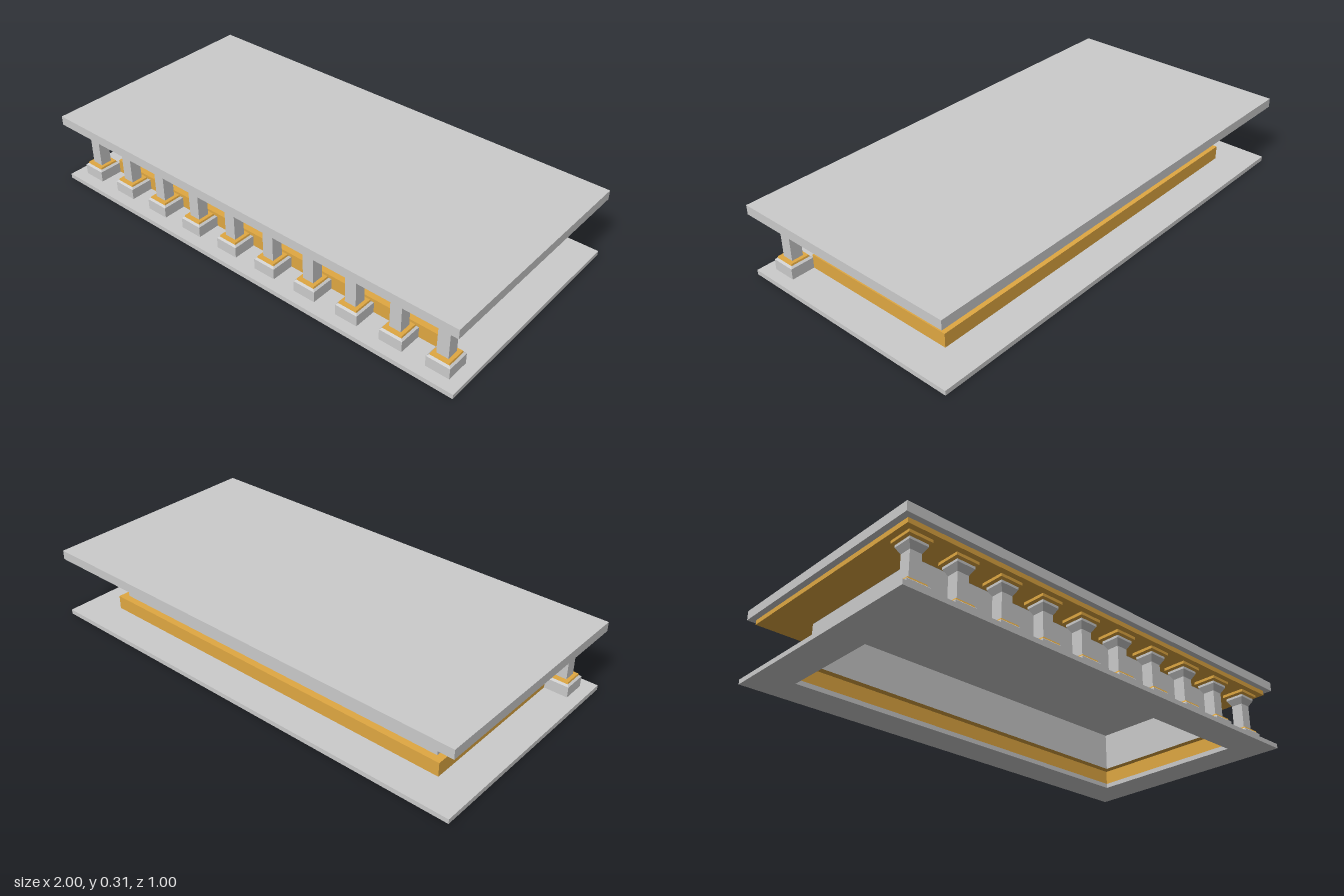
import * as THREE from 'three';

const grey = new THREE.MeshStandardMaterial({ color: 0xcccccc, side: THREE.DoubleSide });
const gold = new THREE.MeshStandardMaterial({ color: 0xe0a842, side: THREE.DoubleSide });

// Flat-sided shell through rectangular sections [halfWidth, halfDepth, y], listed bottom to top
function shell(sections, capTop = false, capBottom = false) {
  const points = [];
  const index = [];
  for (const [w, d, y] of sections) points.push(-w, y, d, w, y, d, w, y, -d, -w, y, -d);
  for (let s = 0; s < sections.length - 1; s++) {
    for (let i = 0; i < 4; i++) {
      const a = s * 4 + i;
      const b = s * 4 + ((i + 1) % 4);
      index.push(a, b, b + 4, a, b + 4, a + 4);
    }
  }
  const t = (sections.length - 1) * 4;
  if (capTop) index.push(t, t + 1, t + 2, t, t + 2, t + 3);
  if (capBottom) index.push(0, 2, 1, 0, 3, 2);
  const indexed = new THREE.BufferGeometry();
  indexed.setAttribute('position', new THREE.Float32BufferAttribute(points, 3));
  indexed.setIndex(index);
  const geometry = indexed.toNonIndexed();
  geometry.computeVertexNormals();
  return geometry;
}

// Square section shorthand for the columns
const square = (profile) => profile.map(([r, y]) => [r, r, y]);

function part(parent, name, geometry, material) {
  const mesh = new THREE.Mesh(geometry, material);
  mesh.name = name;
  parent.add(mesh);
  return mesh;
}

function rectangle(PathType, w, d) {
  return new PathType([[-w, -d], [w, -d], [w, d], [-w, d]].map(([x, y]) => new THREE.Vector2(x, y)));
}

export function createModel() {
  const model = new THREE.Group();
  model.name = 'colonnadeBuilding';

  // Floor plate, open beneath the hollow hall
  const floorShape = rectangle(THREE.Shape, 1, 0.5);
  floorShape.holes.push(rectangle(THREE.Path, 0.85, 0.35));
  const floor = new THREE.ExtrudeGeometry(floorShape, { depth: 0.02, bevelEnabled: false });
  floor.rotateX(-Math.PI / 2);
  part(model, 'floorPlate', floor, grey);

  // Hollow hall: plinth with a ledge, then the walls and ceiling
  part(model, 'plinth', shell([[0.85, 0.35, 0.02], [0.85, 0.35, 0.08], [0.82, 0.32, 0.08]]), gold);
  part(model, 'hallWalls', shell([[0.82, 0.32, 0.08], [0.82, 0.32, 0.249]], true), grey);

  // Cornice and roof slab
  const cornice = shell([[0.975, 0.475, 0.25], [0.975, 0.475, 0.27]]);
  part(model, 'cornice', cornice, gold);
  part(model, 'corniceUnderside', shell([[0.82, 0.32, 0.25], [0.975, 0.475, 0.25]]), gold);
  part(model, 'roofSlab', shell([[1, 0.5, 0.27], [1, 0.5, 0.31]], true, true), grey);

  // Row of square columns along the front
  const base = shell(square([[0.05, 0.02], [0.05, 0.066], [0.042, 0.073]]));
  const baseTrim = shell(square([[0.042, 0.073], [0.04, 0.08]]), true);
  const shaft = shell(square([[0.025, 0.08], [0.025, 0.196], [0.04, 0.222], [0.04, 0.232]]));
  const abacus = shell(square([[0.04, 0.232], [0.05, 0.238], [0.05, 0.25]]), false, true);
  for (let i = 0; i < 10; i++) {
    const column = new THREE.Group();
    column.name = 'column';
    part(column, 'columnBase', base, grey);
    part(column, 'columnBaseTrim', baseTrim, gold);
    part(column, 'columnShaft', shaft, grey);
    part(column, 'columnAbacus', abacus, gold);
    column.position.set(-0.9 + i * 0.2, 0, 0.4);
    model.add(column);
  }
  return model;
}
